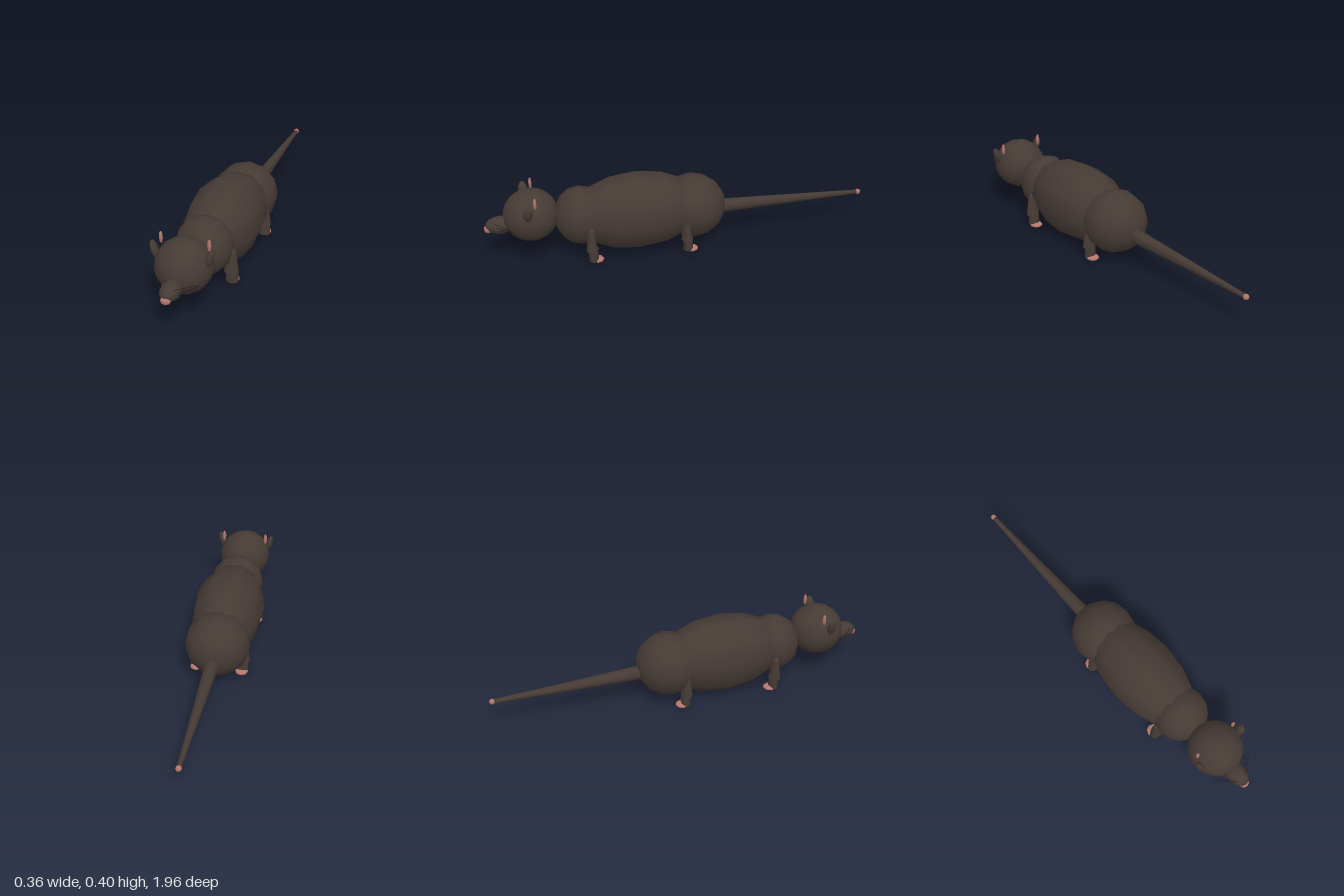
import * as THREE from 'three';

const fur = new THREE.MeshStandardMaterial({ color: 0x463b35 });
fur.name = 'brown fur';
const skin = new THREE.MeshStandardMaterial({ color: 0xb4776c });
skin.name = 'pink skin';
const dark = new THREE.MeshStandardMaterial({ color: 0x1c1815 });
dark.name = 'dark whisker';

export function createModel() {
  const root = new THREE.Group();
  root.name = 'rodent';

  function add(name, geometry, material, pos, parent = root) {
    const mesh = new THREE.Mesh(geometry, material);
    mesh.name = name;
    mesh.position.set(...pos);
    parent.add(mesh);
    return mesh;
  }

  // Ellipsoid with its poles along z; phase turns its facets about z
  function blob(name, material, pos, radii, around = 12, rings = 8, phase = 0) {
    const g = new THREE.SphereGeometry(1, around, rings);
    g.rotateX(Math.PI / 2).rotateZ(phase).scale(...radii);
    return add(name, g, material, pos);
  }

  // Thin or tapered rod between two points
  function rod(name, material, a, b, ra, rb, sides) {
    const from = new THREE.Vector3(...a), to = new THREE.Vector3(...b);
    const dir = to.clone().sub(from);
    const g = new THREE.CylinderGeometry(rb, ra, dir.length(), sides);
    const mesh = add(name, g, material, from.add(to).multiplyScalar(0.5).toArray());
    mesh.quaternion.setFromUnitVectors(new THREE.Vector3(0, 1, 0), dir.normalize());
    return mesh;
  }

  // Trunk
  blob('belly', fur, [0, 0.205, 0.2], [0.183, 0.202, 0.34], 10, 8, -0.1);
  blob('haunches', fur, [0, 0.2, -0.09], [0.165, 0.163, 0.165], 12, 8);
  blob('shoulders', fur, [0, 0.213, 0.485], [0.14, 0.148, 0.13], 12, 8);

  // Head
  blob('head', fur, [0, 0.245, 0.728], [0.135, 0.131, 0.136], 16, 12);
  blob('snout', fur, [0, 0.205, 0.878], [0.048, 0.045, 0.075], 10, 8);
  blob('nose', skin, [0, 0.19, 0.94], [0.025, 0.022, 0.02], 8, 6);

  // Tail
  rod('tail', fur, [0, 0.176, -0.2], [0, 0.167, -0.98], 0.038, 0.011, 8);
  blob('tailTip', skin, [0, 0.167, -0.985], [0.015, 0.015, 0.015], 8, 6);

  for (const s of [1, -1]) {
    // Ears
    const ear = add('ear', new THREE.SphereGeometry(1, 8, 6).scale(0.017, 0.046, 0.024),
      fur, [s * 0.132, 0.315, 0.75]);
    ear.rotation.z = -s * 0.28;
    add('innerEar', new THREE.SphereGeometry(1, 6, 4).scale(0.01, 0.032, 0.009),
      skin, [s * 0.115, 0.358, 0.713]);

    // Legs and paws
    for (const [label, z] of [['front', 0.45], ['rear', -0.03]]) {
      const leg = new THREE.Group();
      leg.name = label + 'Leg';
      root.add(leg);
      add('upperLeg', new THREE.CylinderGeometry(0.024, 0.037, 0.1, 10).scale(1, 1, 0.75),
        fur, [s * 0.12, 0.12, z], leg);
      add('upperLegCap', new THREE.SphereGeometry(0.024, 10, 6).scale(1, 1, 0.75),
        fur, [s * 0.12, 0.17, z], leg);
      add('lowerLeg', new THREE.CylinderGeometry(0.029, 0.031, 0.07, 10).scale(1, 1, 0.8),
        fur, [s * 0.12, 0.05, z - 0.008], leg);
      add('paw', new THREE.SphereGeometry(1, 8, 6).scale(0.034, 0.012, 0.035),
        skin, [s * 0.118, 0.017, z - 0.025], leg);
    }

    // Whiskers
    [0.196, 0.213, 0.232].forEach((y, i) => {
      rod('whisker', dark, [s * 0.03, y, 0.915], [s * (0.09 + i * 0.015), y, 0.815 + i * 0.012],
        0.001, 0.001, 4);
    });
  }

  return root;
}
